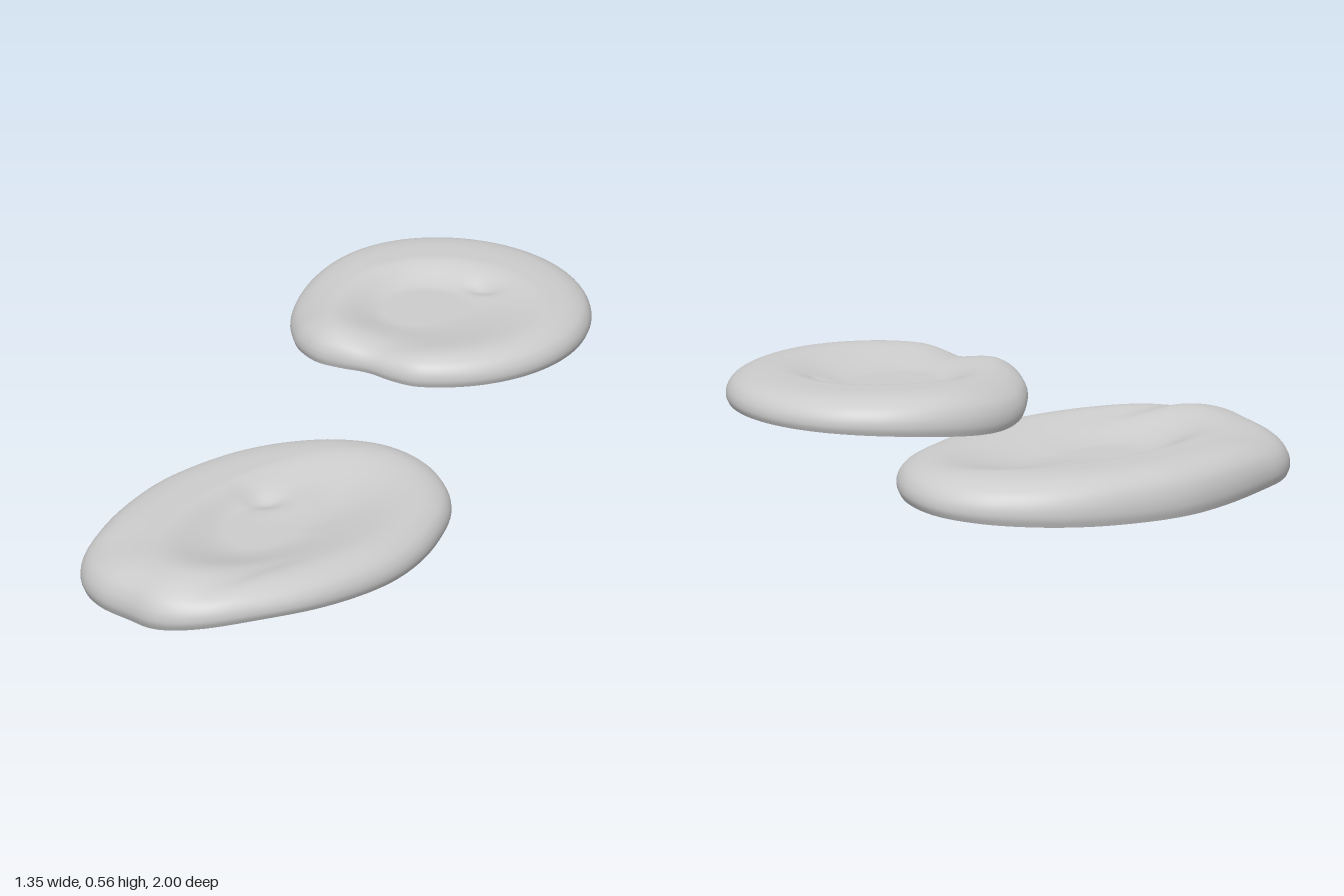
import * as THREE from 'three';

const gauss = (x, z, cx, cz, rx, rz = rx, turn = 0) => {
  const c = Math.cos(turn), s = Math.sin(turn), dx = x - cx, dz = z - cz;
  const u = (dx * c + dz * s) / rx, v = (dz * c - dx * s) / rz;
  return Math.exp(-u * u - v * v);
};

// Hollow bowl with a steep wall on one side and a gentle slope on the other
function bowl(x, z, { cx, cz, rx, rz, turn, steep }) {
  const c = Math.cos(turn), s = Math.sin(turn), dx = x - cx, dz = z - cz;
  const u = (dx * c + dz * s) / rx, v = (dz * c - dx * s) / rz;
  const w = 0.5 + 0.5 * Math.cos(Math.atan2(dz, dx) - steep);
  return 1 - THREE.MathUtils.smoothstep(Math.hypot(u, v), 0.05 + 0.6 * w, 1.25 - 0.2 * w);
}

// Rounded rim seen in section: x = share of the outline radius, y = share of the height
const rim = new THREE.SplineCurve([
  [0.985, 0], [1, 0.2], [0.99, 0.46], [0.95, 0.71], [0.87, 0.9], [0.76, 0.985], [0.64, 1],
].map(p => new THREE.Vector2(...p)));

// Open-bottomed puffy disc: the outline swept inward along the rim, then across the top
function disc(name, [cx, cz], outline, baseAt, topAt) {
  const curve = new THREE.CatmullRomCurve3(
    outline.map(([x, z]) => new THREE.Vector3(x, 0, z)), true, 'centripetal');
  const around = 120, edge = curve.getSpacedPoints(around).slice(0, around);
  const section = rim.getPoints(30);
  for (let k = 1; k <= 34; k++) section.push(new THREE.Vector2(0.64 * (1 - k / 34) + 0.001, 1));

  const pos = [], index = [];
  section.forEach((p, i) => edge.forEach((e, j) => {
    const x = cx + (e.x - cx) * p.x, z = cz + (e.z - cz) * p.x;
    pos.push(x, THREE.MathUtils.lerp(baseAt(x, z), topAt(x, z), p.y), z);
    if (i === 0) return;
    const n = (j + 1) % around, a = (i - 1) * around, b = i * around;
    index.push(a + j, b + j, a + n, b + j, b + n, a + n);
  }));
  // Close the centre
  const last = (section.length - 1) * around, centre = pos.length / 3;
  pos.push(cx, topAt(cx, cz), cz);
  for (let j = 0; j < around; j++) index.push(last + j, centre, last + (j + 1) % around);

  const geo = new THREE.BufferGeometry();
  geo.setAttribute('position', new THREE.Float32BufferAttribute(pos, 3));
  geo.setIndex(index);
  geo.computeVertexNormals();
  const mesh = new THREE.Mesh(geo, new THREE.MeshStandardMaterial({ color: 0xcccccc, side: THREE.DoubleSide }));
  mesh.name = name;
  return mesh;
}

export function createModel() {
  const group = new THREE.Group();
  group.name = 'twoDiscs';

  // Round upper disc with a nearly straight, pinched front-left edge
  const roundOutline = [];
  for (let k = 0; k < 26; k++) {
    const a = -Math.PI * 1.13 + k / 25 * Math.PI * 1.58;
    roundOutline.push([0.199 + 0.473 * Math.cos(a), -0.526 + 0.474 * Math.sin(a)]);
  }
  roundOutline.push([0.22, -0.055], [0.14, -0.08], [0.06, -0.12], [-0.04, -0.14], [-0.12, -0.17], [-0.2, -0.26]);
  const roundHollow = { cx: 0.2, cz: -0.44, rx: 0.31, rz: 0.32, turn: 0, steep: -2.3 };
  group.add(disc('upperRoundDisc', [0.19, -0.5], roundOutline,
    (x, z) => 0.457 - 0.042 * gauss(x, z, -0.25, -0.55, 0.34, 0.32),
    (x, z) => 0.568 - 0.022 * (x + 0.05) - 0.05 * bowl(x, z, roundHollow)
      - 0.045 * gauss(x, z, -0.28, -0.38, 0.16, 0.32)
      - 0.022 * gauss(x, z, 0.08, -0.13, 0.13, 0.1)
      - 0.018 * gauss(x, z, 0.3, -0.66, 0.06, 0.03, 0.3)));

  // Long oval lower disc, leaning, with a blunt corner at the front
  const ovalOutline = [
    [0.378, 0.15], [0.362, 0.33], [0.312, 0.5], [0.222, 0.66], [0.1, 0.81], [-0.03, 0.91], [-0.17, 0.98],
    [-0.29, 1], [-0.37, 0.985], [-0.46, 0.925], [-0.57, 0.85], [-0.64, 0.76], [-0.675, 0.64], [-0.668, 0.5],
    [-0.635, 0.32], [-0.575, 0.14], [-0.48, -0.02], [-0.36, -0.16], [-0.22, -0.26], [-0.06, -0.318],
    [0.1, -0.31], [0.24, -0.22], [0.335, -0.08], [0.372, 0.04],
  ];
  const ovalHollow = { cx: -0.08, cz: 0.33, rx: 0.28, rz: 0.5, turn: 0.46, steep: -2.8 };
  group.add(disc('lowerOvalDisc', [-0.14, 0.34], ovalOutline,
    (x, z) => 0.052 + 0.048 * (x - 0.38) + 0.02 * gauss(x, z, -0.68, 0.62, 0.25, 0.35)
      + 0.034 * gauss(x, z, -0.02, 0.95, 0.36, 0.4),
    (x, z) => 0.168 - 0.058 * bowl(x, z, ovalHollow)
      + 0.017 * gauss(x, z, -0.26, 0.83, 0.22, 0.18)
      - 0.016 * gauss(x, z, -0.13, 0.82, 0.05, 0.18, 0.6)
      - 0.014 * gauss(x, z, -0.2, 0.17, 0.07, 0.04)
      + 0.012 * gauss(x, z, -0.1, 0.14, 0.07, 0.12, 0.5)
      - 0.018 * gauss(x, z, -0.66, 0.68, 0.16)
      - 0.014 * gauss(x, z, 0.36, 0.3, 0.18, 0.4)));
  return group;
}
